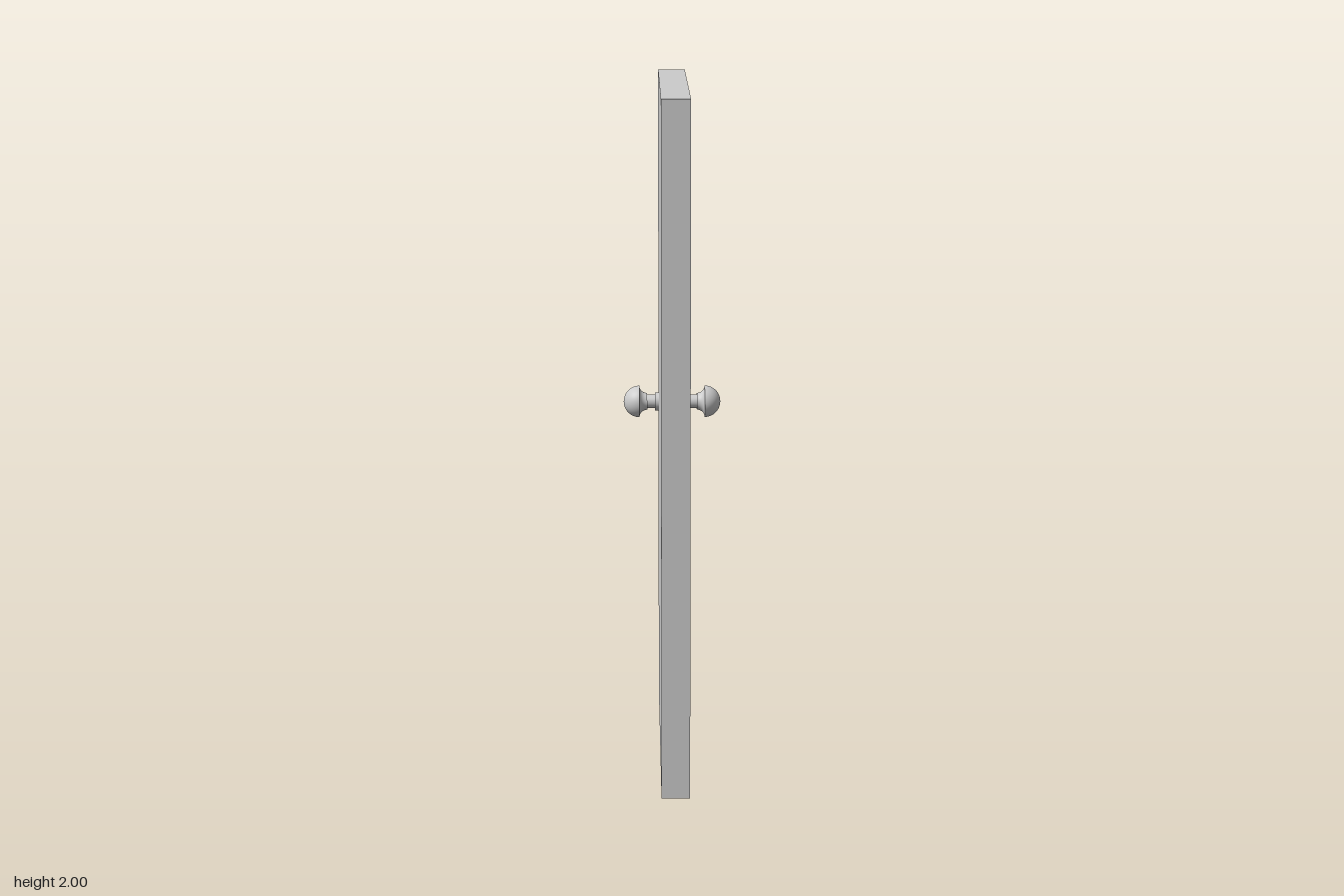
import * as THREE from 'three';

const SEG = 48;

// Lathe whose profile is given as [radius, distance from door centre]
function turned(name, profile, material) {
  const points = profile.map(([r, d]) => new THREE.Vector2(r, d));
  const mesh = new THREE.Mesh(new THREE.LatheGeometry(points, SEG), material);
  mesh.name = name;
  return mesh;
}

// Plain disc section between two distances from the door centre
function collar(name, radius, from, to, material) {
  const mesh = new THREE.Mesh(new THREE.CylinderGeometry(radius, radius, to - from, SEG), material);
  mesh.position.y = (from + to) / 2;
  mesh.name = name;
  return mesh;
}

// One knob, turned along +y
function makeKnob(name, material) {
  const knob = new THREE.Group();
  knob.name = name;
  knob.add(collar('rosette', 0.028, 0.04, 0.053, material));
  knob.add(collar('neck', 0.021, 0.05, 0.08, material));
  knob.add(turned('flareBase', [[0, 0.077], [0.026, 0.077]], material));

  // Concave flare from the neck out to the rim
  const flare = [];
  for (let i = 0; i <= 10; i++) {
    const a = (i / 10) * Math.PI / 2;
    flare.push([0.026 + 0.022 * (1 - Math.cos(a)), 0.077 + 0.024 * Math.sin(a)]);
  }
  knob.add(turned('flare', flare, material));

  // Rounded outer face
  const dome = [];
  for (let i = 0; i <= 16; i++) {
    const a = (i / 16) * Math.PI / 2;
    dome.push([0.049 * Math.cos(a), 0.101 + 0.049 * Math.sin(a)]);
  }
  dome[16][0] = 0;
  knob.add(turned('dome', dome, material));
  return knob;
}

export function createModel() {
  const model = new THREE.Group();
  model.name = 'door';
  const grey = new THREE.MeshStandardMaterial({ color: 0xcccccc });
  grey.name = 'light grey';

  // Door slab
  const slab = new THREE.Mesh(new THREE.BoxGeometry(0.082, 2, 0.972), grey);
  slab.name = 'slab';
  slab.position.y = 1;
  model.add(slab);

  // A knob on each face
  for (const side of [1, -1]) {
    const knob = makeKnob(side > 0 ? 'leftKnob' : 'rightKnob', grey);
    knob.rotation.z = -side * Math.PI / 2;
    knob.position.set(0, 0.987, -0.346);
    model.add(knob);
  }
  return model;
}
